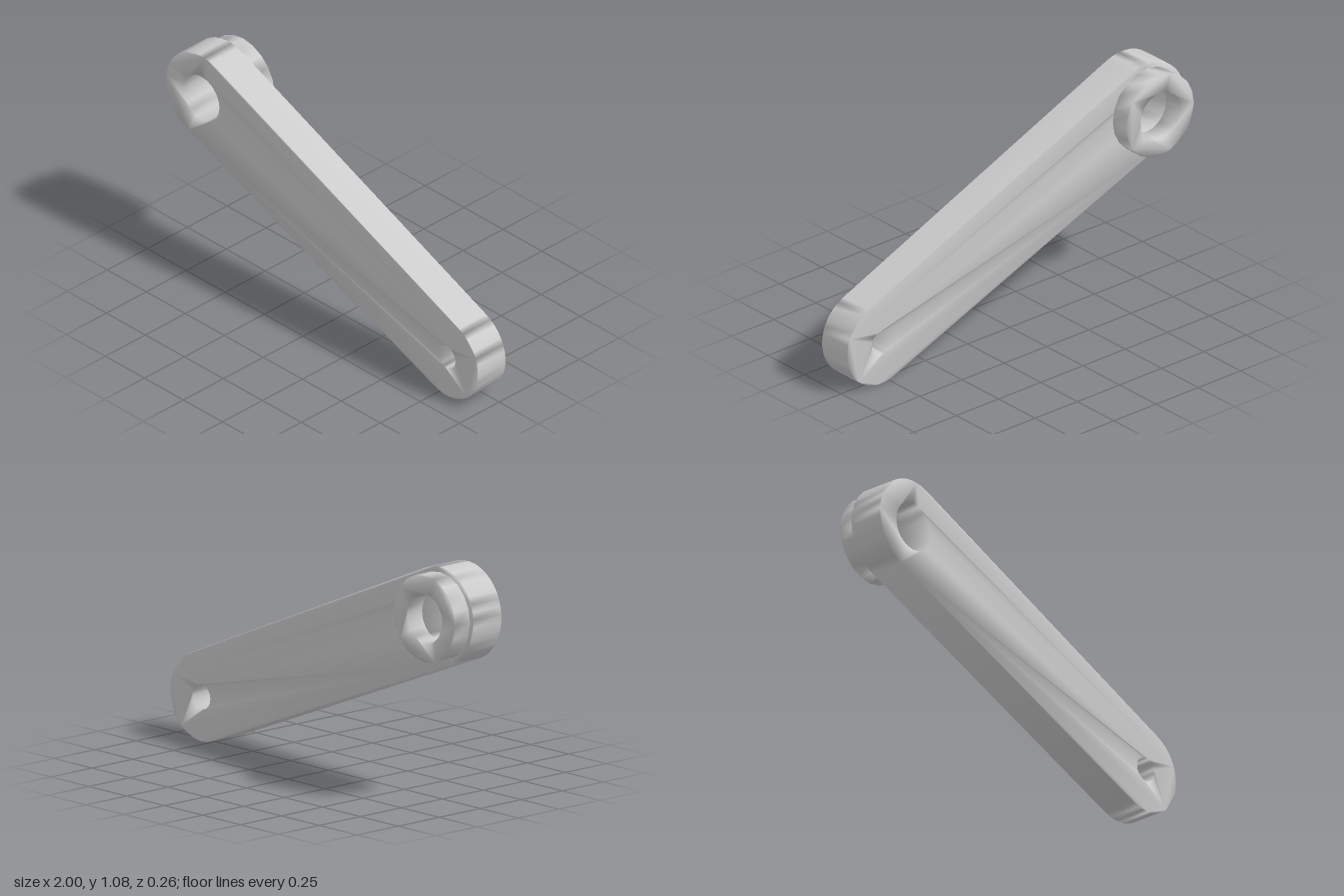
import * as THREE from 'three';
import { mergeVertices } from 'three/addons/utils/BufferGeometryUtils.js';

const BIG = { x: -0.775, y: 0.856, r: 0.225, hole: 0.115 };
const SMALL = { x: 0.795, y: 0.205, r: 0.205, hole: 0.058 };

function addHole(shape, end) {
  shape.holes.push(new THREE.Path().absarc(end.x, end.y, end.hole, 0, Math.PI * 2, true));
}

// Straight extrusion between two depths, with shared normals for soft shading
function softPlate(name, shape, zBack, zFront, material) {
  let geometry = new THREE.ExtrudeGeometry(shape, {
    depth: zFront - zBack, bevelEnabled: false, curveSegments: 10,
  });
  geometry.deleteAttribute('uv');
  geometry.deleteAttribute('normal');
  geometry = mergeVertices(geometry, 1e-4);
  geometry.clearGroups();
  geometry.computeVertexNormals();
  const mesh = new THREE.Mesh(geometry, material);
  mesh.name = name;
  mesh.position.z = zBack;
  return mesh;
}

export function createModel() {
  const group = new THREE.Group();
  group.name = 'leverArm';
  const material = new THREE.MeshStandardMaterial({ color: 0xcccccc });

  // Arm: two round ends joined by their outer tangents, with a hole in each
  const dx = SMALL.x - BIG.x, dy = SMALL.y - BIG.y;
  const axis = Math.atan2(dy, dx);
  const spread = Math.acos((BIG.r - SMALL.r) / Math.hypot(dx, dy));
  const arm = new THREE.Shape();
  arm.absarc(SMALL.x, SMALL.y, SMALL.r, axis - spread, axis + spread, false);
  arm.absarc(BIG.x, BIG.y, BIG.r, axis + spread, axis - spread + Math.PI * 2, false);
  arm.closePath();
  addHole(arm, BIG);
  addHole(arm, SMALL);
  group.add(softPlate('arm', arm, -0.04, 0.13, material));

  // Raised collar behind the large end
  const collar = new THREE.Shape().absarc(BIG.x, BIG.y, 0.201, 0, Math.PI * 2, false);
  addHole(collar, BIG);
  group.add(softPlate('collar', collar, -0.13, -0.04, material));

  return group;
}
